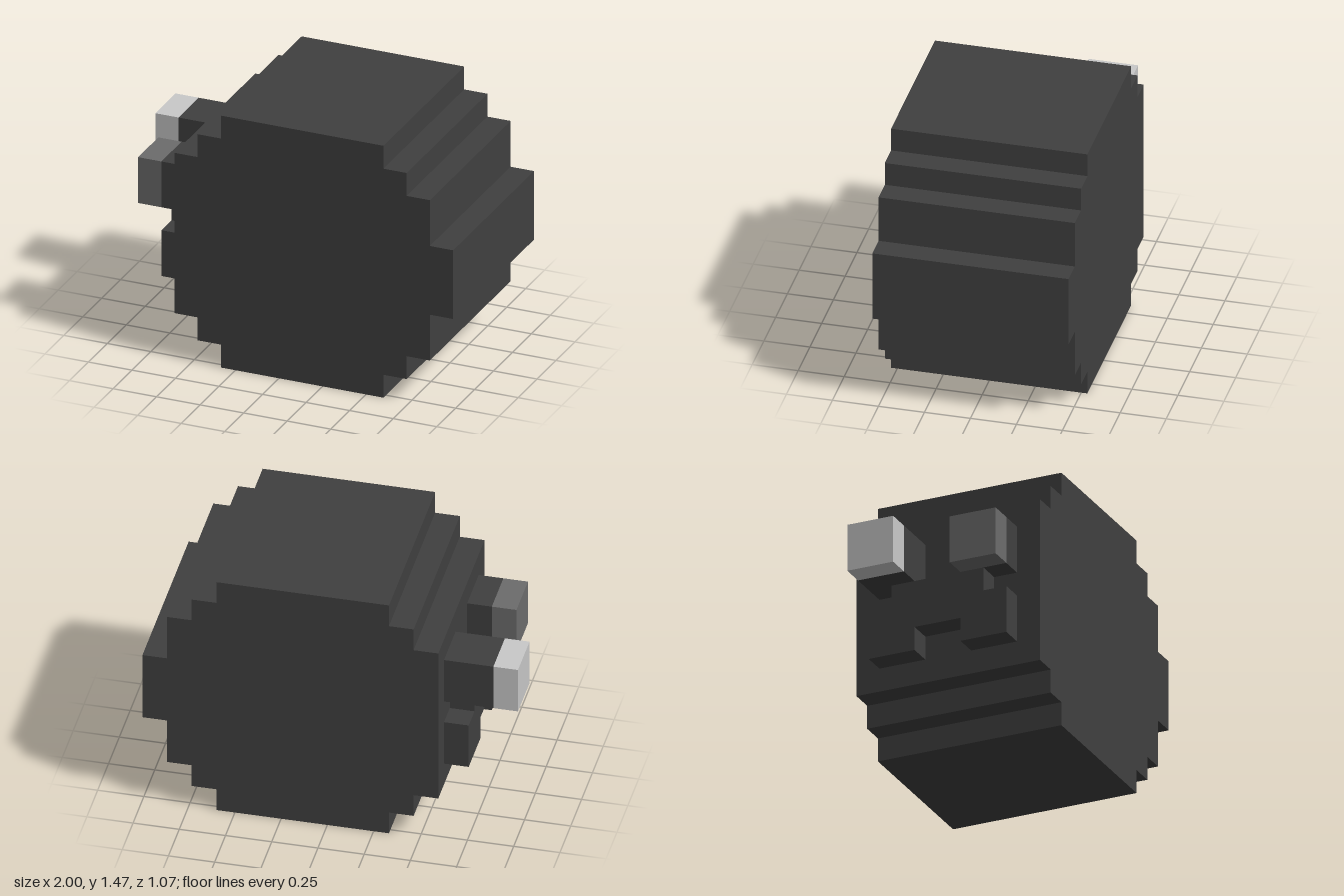
import * as THREE from 'three';

const U = 2 / 15; // edge of one block
const FACE_X = -4.5; // plane that carries the eyes and mouth, in blocks

const material = (name, color) => {
  const m = new THREE.MeshStandardMaterial({ color });
  m.name = name;
  return m;
};

// Flat outline, in blocks, extruded to a depth in blocks
function slab(name, points, depth, mat) {
  const shape = new THREE.Shape(points.map(([a, b]) => new THREE.Vector2(a * U, b * U)));
  const geometry = new THREE.ExtrudeGeometry(shape, { depth: depth * U, bevelEnabled: false });
  const mesh = new THREE.Mesh(geometry, mat);
  mesh.name = name;
  return mesh;
}

// Box between two corners given in blocks
function block(name, min, max, mat) {
  const size = max.map((v, i) => (v - min[i]) * U);
  const mesh = new THREE.Mesh(new THREE.BoxGeometry(...size), mat);
  mesh.position.set(...max.map((v, i) => ((v + min[i]) / 2) * U));
  mesh.name = name;
  return mesh;
}

export function createModel() {
  const charcoal = material('charcoal', 0x404040);
  const midGrey = material('midGrey', 0x6c6c6c);
  const lightGrey = material('lightGrey', 0xc8c8c8);

  const model = new THREE.Group();
  model.name = 'blockCreature';

  // Stepped round body with a ridge on the side away from the face
  const lower = [[-2.5, 0], [4.5, 0], [4.5, 1], [5.5, 1], [5.5, 2], [6.5, 2], [6.5, 4], [7.5, 4]];
  const upper = [[7.5, 7], [6.5, 7], [6.5, 9], [5.5, 9], [5.5, 10], [4.5, 10], [4.5, 11], [-2.5, 11]];
  const faceSide = [[-2.5, 10], [-3.5, 10], [-3.5, 9], [-4.5, 9], [-4.5, 2], [-3.5, 2], [-3.5, 1], [-2.5, 1]];
  const body = slab('body', [...lower, ...upper, ...faceSide], 8, charcoal);
  body.position.z = -4 * U;
  model.add(body);

  // Arched mouth, outlined in z and y and extruded towards -x
  const mouth = slab('mouth', [
    [-3, 3], [-1, 3], [-1, 4], [1, 4], [1, 3], [3, 3],
    [3, 5], [2, 5], [2, 6], [-2, 6], [-2, 5], [-3, 5],
  ], 1, charcoal);
  mouth.rotation.y = -Math.PI / 2;
  mouth.position.x = FACE_X * U;
  model.add(mouth);

  // Eye stalks of different length, each with a paler tip
  for (const [name, z, length, tip] of [['longEye', -3, 2, lightGrey], ['shortEye', 1, 1, midGrey]]) {
    const eye = new THREE.Group();
    eye.name = name;
    const x = FACE_X - length;
    eye.add(block('eyeStalk', [x, 6, z], [FACE_X, 8, z + 2], charcoal));
    eye.add(block('eyeTip', [x - 1, 6, z], [x, 8, z + 2], tip));
    model.add(eye);
  }

  return model;
}
